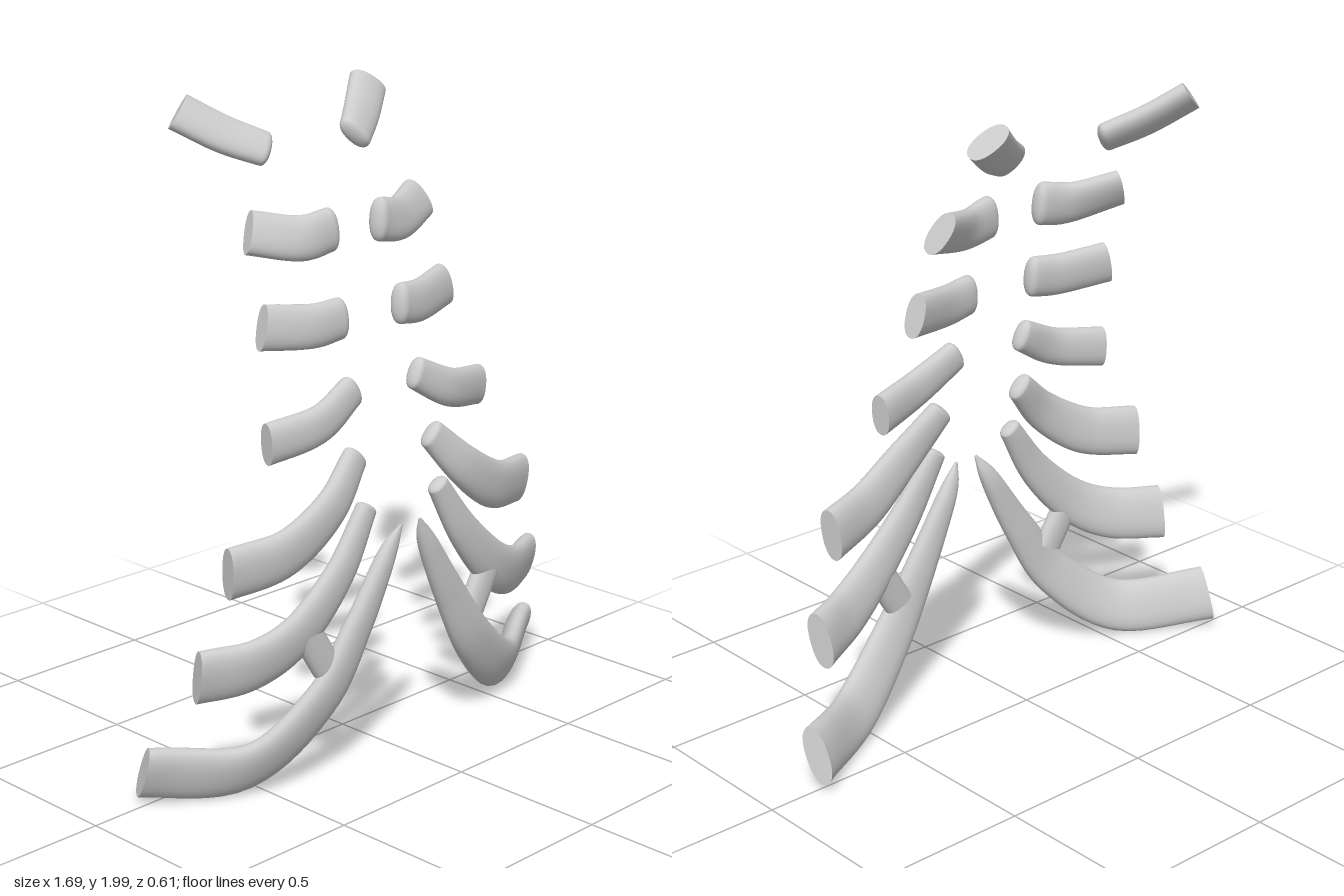
import * as THREE from 'three';

const SIDES = 28, STEPS = 40, DOME = 6, SLANT = 0.12;

// Each cartilage follows a short path from its rounded inner end to its
// flat-cut outer end; height and tilt are given as [inner, outer].
const PARTS = [
  { name: 'FirstCartilage', height: [0.057, 0.066], tilt: [0.5, 0.55],
    path: [[0.19, 1.84, -0.135], [0.29, 1.888, -0.205], [0.392, 1.955, -0.278]] },
  { name: 'SecondCartilage', height: [0.066, 0.067], tilt: [0.05, 0.4],
    path: [[0.105, 1.615, 0.05], [0.21, 1.603, 0.032], [0.355, 1.633, -0.027]] },
  { name: 'ThirdCartilage', height: [0.063, 0.067], tilt: [0.05, 0.1],
    path: [[0.13, 1.366, 0.115], [0.23, 1.358, 0.1], [0.383, 1.373, 0.055]] },
  { name: 'FourthCartilage', height: [0.05, 0.063], tilt: [0.05, 0],
    path: [[0.138, 1.16, 0.172], [0.28, 1.09, 0.18], [0.45, 1.058, 0.142]] },
  { name: 'FifthCartilage', height: [0.046, 0.081], tilt: [0, -0.1],
    path: [[0.165, 0.972, 0.213], [0.29, 0.85, 0.236], [0.45, 0.75, 0.217], [0.627, 0.718, 0.165]] },
  { name: 'SixthCartilage', height: [0.036, 0.088], tilt: [0, -0.2],
    path: [[0.155, 0.822, 0.25], [0.27, 0.65, 0.254], [0.42, 0.503, 0.238], [0.56, 0.432, 0.194], [0.712, 0.416, 0.122]] },
  { name: 'SeventhCartilage', height: [0.005, 0.09], tilt: [0, -0.35],
    path: [[0.04, 0.752, 0.283], [0.085, 0.67, 0.27], [0.2, 0.47, 0.262], [0.34, 0.268, 0.244], [0.56, 0.105, 0.165], [0.825, 0.121, 0.006]] },
  // Web fusing the sixth and seventh cartilages
  { name: 'CartilageBridge', height: [0.05, 0.05], tilt: [0, 0],
    path: [[0.395, 0.5, 0.242], [0.315, 0.37, 0.246]] },
];

// Sweep a rounded oval along the path, with a domed start and a flat end
function sweep({ path, height, tilt }, mirror) {
  const curve = new THREE.CatmullRomCurve3(path.map(p => new THREE.Vector3(...p)), false, 'catmullrom', 0.5);
  const pos = [], index = [];
  const sx = mirror ? -1 : 1;
  const tri = (a, b, c) => mirror ? index.push(a, c, b) : index.push(a, b, c);
  const oval = v => Math.sign(v) * Math.pow(Math.abs(v), 0.88);

  const ring = (u, back, scale) => {
    const c = curve.getPoint(u), T = curve.getTangent(u);
    // Half height swells quickly from the inner end; thickness follows it
    const h = THREE.MathUtils.lerp(height[0], height[1], Math.sin(u * Math.PI / 2));
    const t = Math.min(0.75 * h, 0.02 + 0.18 * h);
    const roll = THREE.MathUtils.lerp(tilt[0], tilt[1], u);
    const N = new THREE.Vector3(0, Math.sin(roll), Math.cos(roll));
    N.addScaledVector(T, -N.dot(T)).normalize();
    const B = new THREE.Vector3().crossVectors(N, T);
    for (let j = 0; j < SIDES; j++) {
      const a = j / SIDES * Math.PI * 2;
      const n = oval(Math.cos(a)) * t * scale, b = oval(Math.sin(a)) * h * scale;
      const p = c.clone().addScaledVector(N, n).addScaledVector(B, b)
        .addScaledVector(T, -back - SLANT * b * u ** 4);
      pos.push(p.x * sx, p.y, p.z);
    }
  };

  for (let k = 0; k < DOME; k++) {
    const a = (1 - k / DOME) * Math.PI / 2;
    ring(0, 0.38 * height[0] * Math.sin(a), Math.max(0.01, Math.pow(Math.cos(a), 0.8)));
  }
  for (let i = 0; i <= STEPS; i++) ring(i / STEPS, 0, 1);
  const rings = DOME + STEPS + 1;
  for (let i = 0; i < rings - 1; i++) for (let j = 0; j < SIDES; j++) {
    const a = i * SIDES + j, b = i * SIDES + (j + 1) % SIDES;
    tri(a, a + SIDES, b);
    tri(b, a + SIDES, b + SIDES);
  }

  // Flat outer cut with its own vertices, so the rim stays sharp
  const last = (rings - 1) * SIDES, cap = rings * SIDES;
  const mid = [0, 0, 0];
  for (let j = 0; j < SIDES; j++) for (let d = 0; d < 3; d++) {
    const v = pos[(last + j) * 3 + d];
    pos.push(v);
    mid[d] += v / SIDES;
  }
  pos.push(...mid);
  for (let j = 0; j < SIDES; j++) tri(cap + SIDES, cap + (j + 1) % SIDES, cap + j);

  const geo = new THREE.BufferGeometry();
  geo.setAttribute('position', new THREE.Float32BufferAttribute(pos, 3));
  geo.setIndex(index);
  geo.computeVertexNormals();
  return geo;
}

export function createModel() {
  const model = new THREE.Group();
  model.name = 'costalCartilages';
  const material = new THREE.MeshStandardMaterial({ color: 0xcccccc });
  material.name = 'cartilage grey';
  for (const side of ['left', 'right']) {
    const group = new THREE.Group();
    group.name = side + 'Cartilages';
    for (const part of PARTS) {
      const mesh = new THREE.Mesh(sweep(part, side === 'right'), material);
      mesh.name = side + part.name;
      group.add(mesh);
    }
    model.add(group);
  }
  return model;
}
